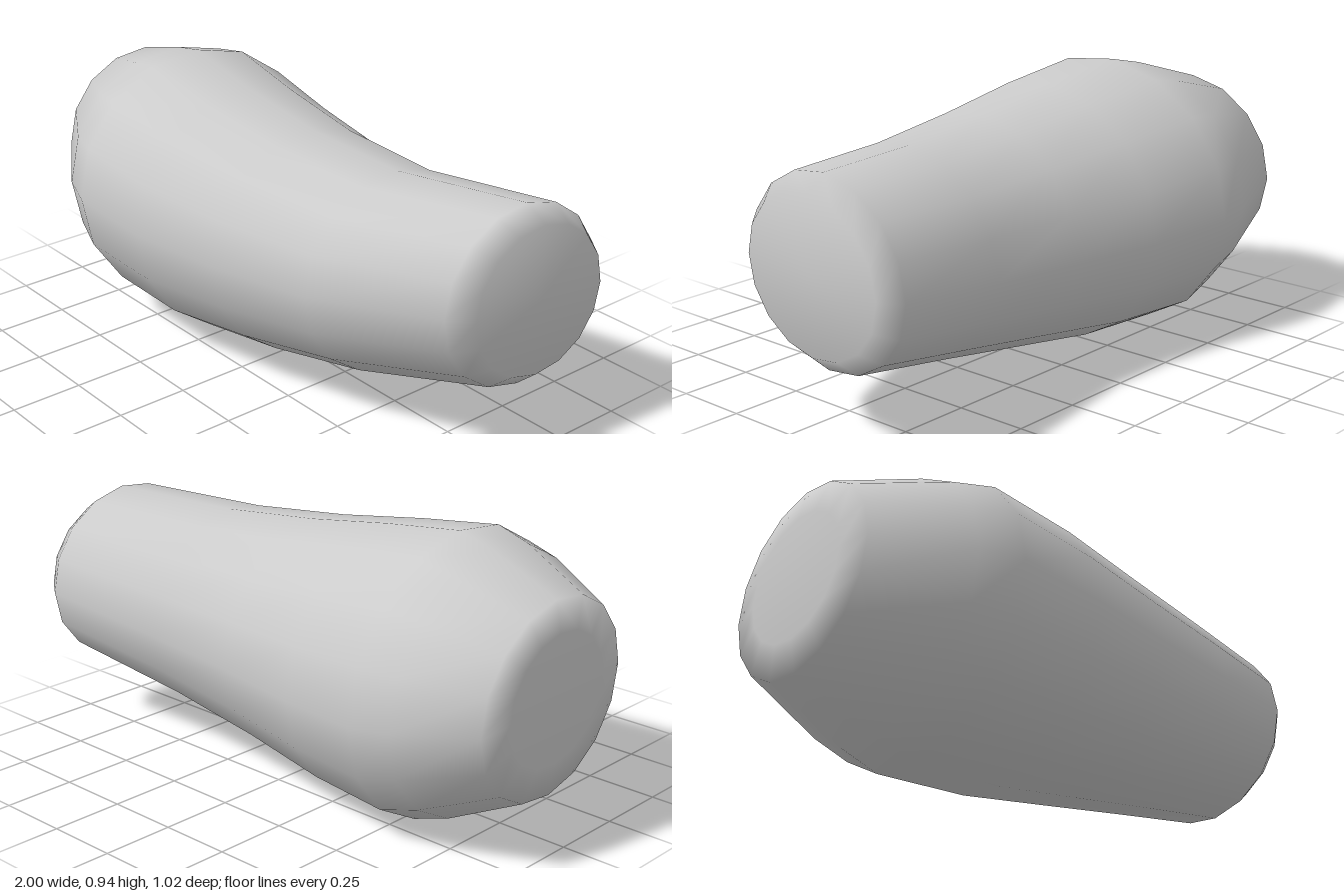
import * as THREE from 'three';

const SIDES = 16;

// Cross-sections along the length: x, centre y, centre z, radius y, radius z
const RINGS = [
  [-1.0, 0.52, -0.07, 0.21, 0.23],
  [-0.98, 0.515, -0.068, 0.315, 0.343],
  [-0.7, 0.485, -0.02, 0.43, 0.475],
  [-0.56, 0.475, -0.005, 0.47, 0.51],
  [-0.24, 0.453, 0.02, 0.447, 0.475],
  [0.1, 0.452, 0.02, 0.398, 0.42],
  [0.47, 0.47, -0.01, 0.35, 0.375],
  [0.93, 0.532, -0.112, 0.308, 0.328],
  [1.0, 0.537, -0.118, 0.253, 0.272],
];

// Closed tapering limb: joined rings with a fan at each end
function loft(rings, sides) {
  const positions = [];
  const index = [];
  for (const [x, cy, cz, ry, rz] of rings) {
    const skew = 0.04 * ry; // the section leans slightly to one diagonal
    for (let j = 0; j < sides; j++) {
      const t = ((j + 0.1) / sides) * Math.PI * 2;
      const c = Math.cos(t), s = Math.sin(t);
      positions.push(x, cy + ry * s + skew * c, cz + rz * c + skew * s);
    }
  }
  const last = (rings.length - 1) * sides;
  const startCentre = rings.length * sides;
  for (const [x, cy, cz] of [rings[0], rings[rings.length - 1]]) positions.push(x, cy, cz);

  for (let j = 0; j < sides; j++) {
    const k = (j + 1) % sides;
    for (let i = 0; i < last; i += sides) {
      const a = i + j, b = i + sides + j, c = i + sides + k, d = i + k;
      index.push(a, b, c, a, c, d);
    }
    index.push(startCentre, j, k);
    index.push(startCentre + 1, last + k, last + j);
  }
  const geometry = new THREE.BufferGeometry();
  geometry.setAttribute('position', new THREE.Float32BufferAttribute(positions, 3));
  geometry.setIndex(index);
  geometry.computeVertexNormals();
  return geometry;
}

export function createModel() {
  const group = new THREE.Group();
  const material = new THREE.MeshStandardMaterial({ color: 0xcccccc });
  const body = new THREE.Mesh(loft(RINGS, SIDES), material);
  body.name = 'limbSegment';
  group.add(body);
  return group;
}
